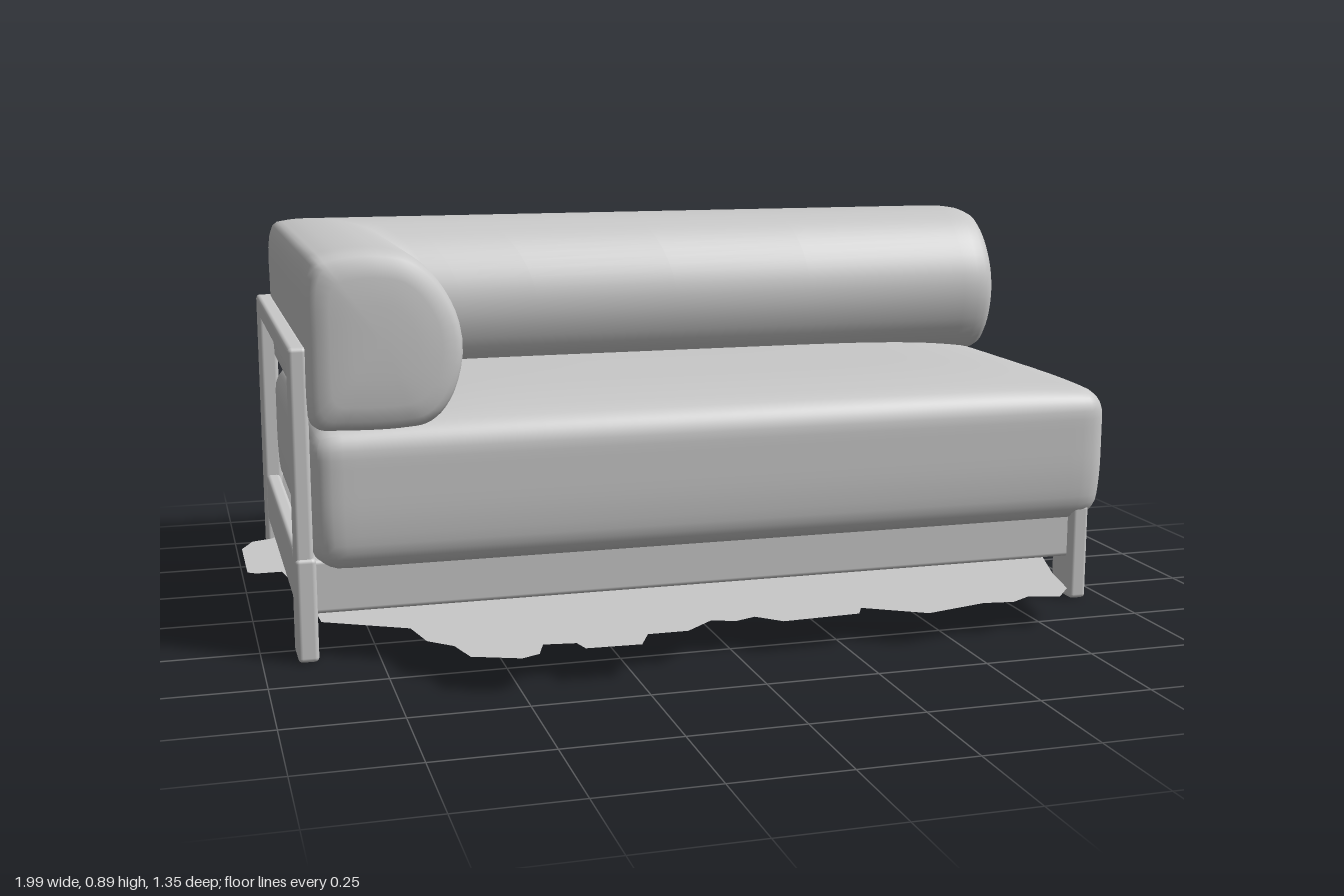
import * as THREE from 'three';
import { mergeVertices } from 'three/addons/utils/BufferGeometryUtils.js';
import { RoundedBoxGeometry } from 'three/addons/geometries/RoundedBoxGeometry.js';

const grey = new THREE.MeshStandardMaterial({ color: 0xc8c8c8, side: THREE.DoubleSide });
grey.name = 'light grey';

function addMesh(group, name, geometry) {
  const mesh = new THREE.Mesh(geometry, grey);
  mesh.name = name;
  group.add(mesh);
  return mesh;
}

// Rounded bar given by its min and max corners
function addBar(group, name, [x0, y0, z0], [x1, y1, z1], r = 0.01) {
  const g = new RoundedBoxGeometry(x1 - x0, y1 - y0, z1 - z0, 3, r);
  g.translate((x0 + x1) / 2, (y0 + y1) / 2, (z0 + z1) / 2);
  return addMesh(group, name, g);
}

// Soft seat block: rounded edges, crowned top, sides drawn in towards the base
function seatGeometry() {
  const half = new THREE.Vector3(0.94, 0.16, 0.5), r = 0.06;
  let g = new THREE.BoxGeometry(2, 2, 2, 40, 20, 32);
  g.deleteAttribute('uv');
  g.deleteAttribute('normal');
  g = mergeVertices(g);
  const core = half.clone().subScalar(r), low = core.clone().negate();
  const p = new THREE.Vector3(), c = new THREE.Vector3();
  const ease = (u) => Math.sin(u * Math.PI / 2);
  const pos = g.attributes.position;
  for (let i = 0; i < pos.count; i++) {
    p.fromBufferAttribute(pos, i);
    p.set(ease(p.x), ease(p.y), ease(p.z)).multiply(half);
    c.copy(p).clamp(low, core);
    p.sub(c).setLength(r).add(c);
    const u = p.x / half.x, v = p.y / half.y, w = p.z / half.z;
    const crown = 0.04 * (1 - u ** 6) * (1 - w ** 4) * Math.max(0, v);
    const tuck = 0.018 * Math.max(0, -v) ** 2;
    pos.setXYZ(i, p.x - 0.5 * tuck * u + 0.05, p.y + crown + 0.35, p.z - tuck * w - 0.13);
  }
  g.computeVertexNormals();
  return g;
}

// L-shaped bolster: D-shaped section swept along the arm, mitred, then along the back
function bolsterGeometry() {
  const section = [[0, 0.57], [0, 0.7], [0, 0.82], [0.03, 0.865], [0.12, 0.881], [0.45, 0.89],
    [0.7, 0.868], [0.88, 0.805], [0.98, 0.73], [1, 0.67], [0.96, 0.6], [0.88, 0.547],
    [0.77, 0.515], [0.6, 0.505], [0.2, 0.505], [0.06, 0.51], [0.01, 0.53]];
  const curve = new THREE.CatmullRomCurve3(
    section.map(([a, y]) => new THREE.Vector3(a, y, 0)), true, 'centripetal');
  const ring = curve.getSpacedPoints(72).slice(0, 72);
  const toX = (a) => -0.89 + 0.335 * a, toZ = (a) => -0.63 + 0.38 * a;
  // [distance from the end, section scale] for the soft ends
  const ends = [[0, 0], [0.001, 0.4], [0.004, 0.7], [0.01, 0.86], [0.02, 0.93],
    [0.036, 0.97], [0.06, 0.99], [0.1, 1]];
  const along = [0.3, 0.55, 0.8, 0.93, 0.97];
  const rows = [];
  const addRow = (f) => rows.push(ring.map(f));
  const shrink = (q, s) => [0.48 + (q.x - 0.48) * s, 0.7 + (q.y - 0.7) * s];

  for (const [d, s] of ends) addRow((q) => {
    const [a, y] = shrink(q, s);
    return [toX(a), y, 0.412 - d];
  });
  for (const t of along) addRow((q) => [toX(q.x), q.y, THREE.MathUtils.lerp(0.312, toZ(q.x), t)]);
  addRow((q) => [toX(q.x), q.y, toZ(q.x)]);
  for (const t of [...along].reverse())
    addRow((q) => [THREE.MathUtils.lerp(0.892, toX(q.x), t), q.y, toZ(q.x)]);
  for (const [d, s] of [...ends].reverse()) addRow((q) => {
    const [a, y] = shrink(q, s);
    return [0.992 - d, y, toZ(a)];
  });

  const n = ring.length, index = [];
  for (let i = 0; i < rows.length - 1; i++) {
    for (let j = 0; j < n; j++) {
      const k = (j + 1) % n, a = i * n + j, b = i * n + k;
      index.push(a, b, a + n, b, b + n, a + n);
    }
  }
  let g = new THREE.BufferGeometry();
  g.setAttribute('position', new THREE.Float32BufferAttribute(rows.flat(2), 3));
  g.setIndex(index);
  g = mergeVertices(g);
  g.computeVertexNormals();
  return g;
}

// Thin ragged sheet beneath the frame, outlined as [x, z]
function sheetGeometry() {
  const outline = [[-0.69, 0.4], [-0.67, 0.5], [-0.62, 0.55], [-0.6, 0.63], [-0.5, 0.67],
    [-0.46, 0.65], [-0.44, 0.59], [-0.37, 0.6], [-0.36, 0.64], [-0.24, 0.645], [-0.21, 0.58],
    [-0.12, 0.58], [-0.05, 0.52], [0, 0.54], [0.05, 0.52], [0.1, 0.57], [0.28, 0.56],
    [0.3, 0.52], [0.43, 0.6], [0.58, 0.56], [0.65, 0.57], [0.7, 0.54], [0.77, 0.56],
    [0.82, 0.5], [0.85, 0.37], [0.9, 0.22], [0.9, -0.55], [0.72, -0.66], [0.52, -0.665],
    [0.48, -0.68], [0.44, -0.665], [0.3, -0.665], [-0.8, -0.64], [-0.92, -0.48],
    [-0.97, -0.46], [-1, -0.39], [-1, -0.16], [-0.98, -0.145], [-0.92, -0.145],
    [-0.88, 0.1], [-0.87, 0.3]];
  const shape = new THREE.Shape(outline.map(([x, z]) => new THREE.Vector2(x, -z)));
  return new THREE.ShapeGeometry(shape).rotateX(-Math.PI / 2).translate(0, 0.075, 0);
}

export function createModel() {
  const model = new THREE.Group();
  model.name = 'sofa';
  addMesh(model, 'seatCushion', seatGeometry());
  addMesh(model, 'backAndArmBolster', bolsterGeometry());

  const frame = new THREE.Group();
  frame.name = 'frame';
  model.add(frame);

  // Posts: three carry the rail, the open front corner has a short leg
  addBar(frame, 'rearRightPost', [-0.925, 0, -0.662], [-0.88, 0.685, -0.58]);
  addBar(frame, 'rearLeftPost', [0.91, 0, -0.662], [0.952, 0.685, -0.58]);
  addBar(frame, 'frontRightLeg', [-0.925, 0, 0.25], [-0.88, 0.23, 0.35]);
  addBar(frame, 'frontRightPost', [-0.925, 0.15, 0.29], [-0.885, 0.685, 0.345]);
  addBar(frame, 'frontLeftLeg', [0.91, 0, 0.25], [0.952, 0.23, 0.35]);

  // Aprons below the seat
  addBar(frame, 'frontApron', [-0.9, 0.1, 0.295], [0.93, 0.22, 0.325]);
  addBar(frame, 'backApron', [-0.9, 0.1, -0.645], [0.93, 0.22, -0.61]);
  addBar(frame, 'rightApron', [-0.92, 0.1, -0.62], [-0.885, 0.22, 0.3]);
  addBar(frame, 'leftApron', [0.912, 0.1, -0.62], [0.947, 0.22, 0.3]);

  // Rails behind the bolster
  addBar(frame, 'backRail', [-0.925, 0.635, -0.662], [0.952, 0.685, -0.625]);
  addBar(frame, 'armRail', [-0.925, 0.635, -0.65], [-0.885, 0.685, 0.34]);

  addMesh(model, 'groundSheet', sheetGeometry());
  return model;
}
